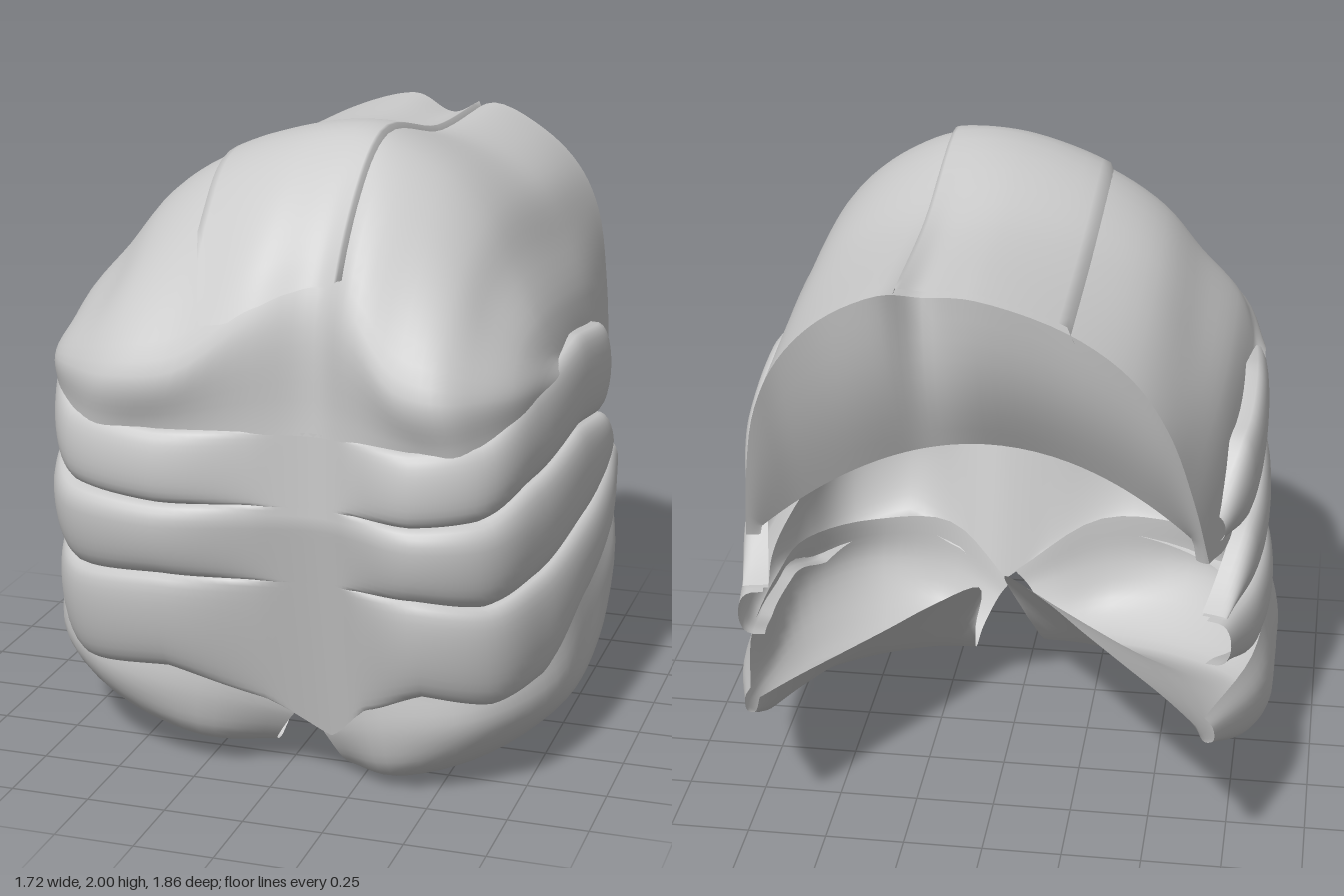
import * as THREE from 'three';

const material = new THREE.MeshStandardMaterial({ color: 0xcccccc, side: THREE.DoubleSide });
const V = (p) => new THREE.Vector3(p[0], p[1], p[2]);
const CX = 0.17; // x of the breastbone groove

// Smooth curve through points, t in 0..1 spread evenly over the points
const curve = (pts) => new THREE.CatmullRomCurve3(pts, false, 'centripetal');
const along = (values, t) => {
  const f = Math.min(Math.max(t, 0), 1) * (values.length - 1);
  const i = Math.min(Math.floor(f), values.length - 2);
  return THREE.MathUtils.lerp(values[i], values[i + 1], THREE.MathUtils.smoothstep(f - i, 0, 1) * 0.4 + (f - i) * 0.6);
};

// Mesh from rows of points
function sheet(name, rows) {
  const n = rows[0].length, pos = [], idx = [];
  rows.forEach((row, r) => row.forEach((p, c) => {
    pos.push(p.x, p.y, p.z);
    if (r && c) {
      const a = r * n + c, b = a - n;
      idx.push(b - 1, a - 1, b, b, a - 1, a);
    }
  }));
  const g = new THREE.BufferGeometry();
  g.setAttribute('position', new THREE.Float32BufferAttribute(pos, 3));
  g.setIndex(idx);
  g.computeVertexNormals();
  const mesh = new THREE.Mesh(g, material);
  mesh.name = name;
  return mesh;
}
const range = (n, fn) => Array.from({ length: n + 1 }, (_, i) => fn(i / n));

// Columns of the upper shell from the groove outward:
// back edge, top, crest, shoulder, chest, lower edge
const COLUMNS = [
  [[.17, 1.84, -.70], [.17, 1.87, -.25], [.17, 1.98, .36], [.17, 1.82, .62], [.17, 1.55, .80], [.17, 1.17, .83]],
  [[.28, 1.88, -.80], [.28, 1.88, -.25], [.28, 1.96, .36], [.28, 1.83, .63], [.28, 1.52, .86], [.29, 1.17, .86]],
  [[.45, 1.80, -.81], [.45, 1.82, -.25], [.45, 1.87, .36], [.43, 1.74, .64], [.43, 1.36, .915], [.48, 1.16, .88]],
  [[.57, 1.68, -.83], [.58, 1.72, -.25], [.57, 1.75, .36], [.55, 1.63, .64], [.57, 1.33, .91], [.60, 1.16, .87]],
  [[.64, 1.53, -.84], [.66, 1.56, -.25], [.65, 1.60, .36], [.63, 1.51, .63], [.66, 1.32, .82], [.68, 1.18, .78]],
  [[.69, 1.28, -.78], [.73, 1.37, -.25], [.74, 1.43, .36], [.73, 1.39, .55], [.74, 1.30, .67], [.74, 1.20, .65]],
  [[.72, 1.04, -.70], [.75, .96, -.36], [.78, 1.18, 0], [.79, 1.28, .25], [.785, 1.27, .42], [.77, 1.21, .50]],
];
const shellCurves = [];
for (let i = -6; i <= 6; i++) {
  shellCurves.push(curve(COLUMNS[Math.abs(i)].map((p) => {
    const q = V(p);
    if (i < 0) q.x = CX - (q.x - CX) * 1.54;
    return q;
  })));
}
// v runs -6..6 across the shell, s runs 0..1 from back to chest
const shellRow = (s) => curve(shellCurves.map((c) => c.getPoint(s)));

function upperShell() {
  return sheet('upperShell', range(36, (s) => {
    const row = shellRow(s);
    return range(60, (t) => row.getPoint(t));
  }));
}

// Wall folding down from the rear rim of the shell
function backWall() {
  const rim = shellRow(0);
  return sheet('backWall', range(8, (d) => range(60, (t) => {
    const p = rim.getPoint(t);
    const q = (p.x / .75) ** 2;
    const inner = new THREE.Vector3(p.x * .94, Math.min(1.34 - .3 * q, p.y), -.6 - .1 * q);
    p.lerp(inner, d);
    p.z -= .04 * Math.sin(Math.PI * d) * Math.max(0, 1 - q);
    return p;
  })));
}

// Raised plate along the top, with a hooked front end
function topFlap() {
  const ends = [.58, .755, .785, .785, .775, .765, .76, .74];
  return sheet('topFlap', range(26, (s) => range(28, (t) => {
    const v = THREE.MathUtils.lerp(-2.1, .72, t);
    const p = shellRow(s * along(ends, t)).getPoint((v + 6) / 12);
    const lift = (t === 0 || t === 1) ? -.02 : .02;
    p.y += lift * (1 - .7 * s * s);
    p.z += lift * s * s * 1.5;
    return p;
  })));
}

// Ground plan of the ribs: outward fraction and z, breastbone to tip
const PLAN = [[0, .83], [.2, .86], [.5, .89], [.80, .80], [.94, .55], [1, .1], [.98, -.3], [.90, -.55]];

function rib(name, top, bottom, tipZ, width) {
  const half = (s) => PLAN.map(([d, z], i) =>
    new THREE.Vector3(CX + s * d * (s > 0 ? .61 : .94) * width, 0, i === 7 ? tipZ : z));
  const plan = curve([...half(-1).reverse(), ...half(1).slice(1)]);
  return sheet(name, range(112, (u) => {
    const p = plan.getPoint(u), k = Math.abs(u - .5) * 2;
    const tan = plan.getTangent(u);
    const out = new THREE.Vector3(-tan.z, 0, tan.x);
    const puff = THREE.MathUtils.smoothstep(k, .08, .32);
    return range(14, (t) => {
      const y = THREE.MathUtils.lerp(along(bottom, k), along(top, k), (1 - Math.cos(Math.PI * t)) / 2);
      const q = p.clone().addScaledVector(out, puff * (.08 * Math.sqrt(Math.sin(Math.PI * t) + 1e-9) - .04));
      q.y = y;
      // lower chest leans back
      q.z -= Math.max(0, .9 - y) * .23 * THREE.MathUtils.smoothstep(q.z, 0, .7);
      return q;
    });
  }));
}

// Hip plate sections: top, belly, lower corner, underside, inner edge
const PLATE = [
  [[.10, .20, .62], [.14, .14, .62], [.19, .04, .57], [.20, .01, .48], [.17, .22, .26]],
  [[.33, .38, .72], [.35, .20, .72], [.36, .06, .66], [.34, .01, .46], [.13, .48, .07]],
  [[.60, .40, .66], [.62, .24, .66], [.59, .10, .56], [.54, .04, .34], [.25, .51, -.12]],
  [[.78, .46, .38], [.81, .28, .36], [.78, .16, .26], [.70, .10, .12], [.37, .52, -.32]],
  [[.80, .52, .00], [.82, .36, -.04], [.82, .21, -.10], [.74, .18, -.16], [.48, .53, -.50]],
  [[.78, .56, -.45], [.81, .45, -.45], [.79, .33, -.48], [.74, .30, -.50], [.59, .54, -.68]],
  [[.69, .60, -.86], [.71, .56, -.85], [.71, .50, -.83], [.69, .49, -.82], [.67, .55, -.83]],
];
function hipPlate(side) {
  const rails = [0, 1, 2, 3, 4].map((j) => curve(PLATE.map((sec) => {
    const q = V(sec[j]);
    if (side < 0) {
      q.x = -.05 - 1.306 * (q.x - .2);
      q.y += .05;
      if (q.z < 0) q.z *= 1.08;
    }
    return q;
  })));
  return sheet(side > 0 ? 'leftHipPlate' : 'rightHipPlate', range(30, (u) => {
    const section = curve(rails.map((r) => r.getPoint(u)));
    return range(20, (t) => section.getPoint(t));
  }));
}

export function createModel() {
  const group = new THREE.Group();
  group.name = 'ribbedTorsoShell';
  // Shared seams between neighbouring ribs, breastbone to tip
  const seamA = [1.18, 1.18, 1.17, 1.19, 1.29, 1.34, 1.28, 1.11];
  const seamB = [.95, .95, .94, .95, 1.00, 1.04, .98, .80];
  const seamC = [.70, .70, .70, .67, .69, .73, .76, .79];
  const hem = [.16, .28, .37, .33, .34, .47, .53, .64];
  group.add(
    upperShell(),
    backWall(),
    topFlap(),
    rib('upperRib', seamA, [...seamB.slice(0, 7), 1.01], -.51, 1),
    rib('middleRib', seamB, seamC, -.58, 1.02),
    rib('lowerRib', seamC, hem, -.61, 1.04),
    hipPlate(1),
    hipPlate(-1),
  );
  return group;
}
